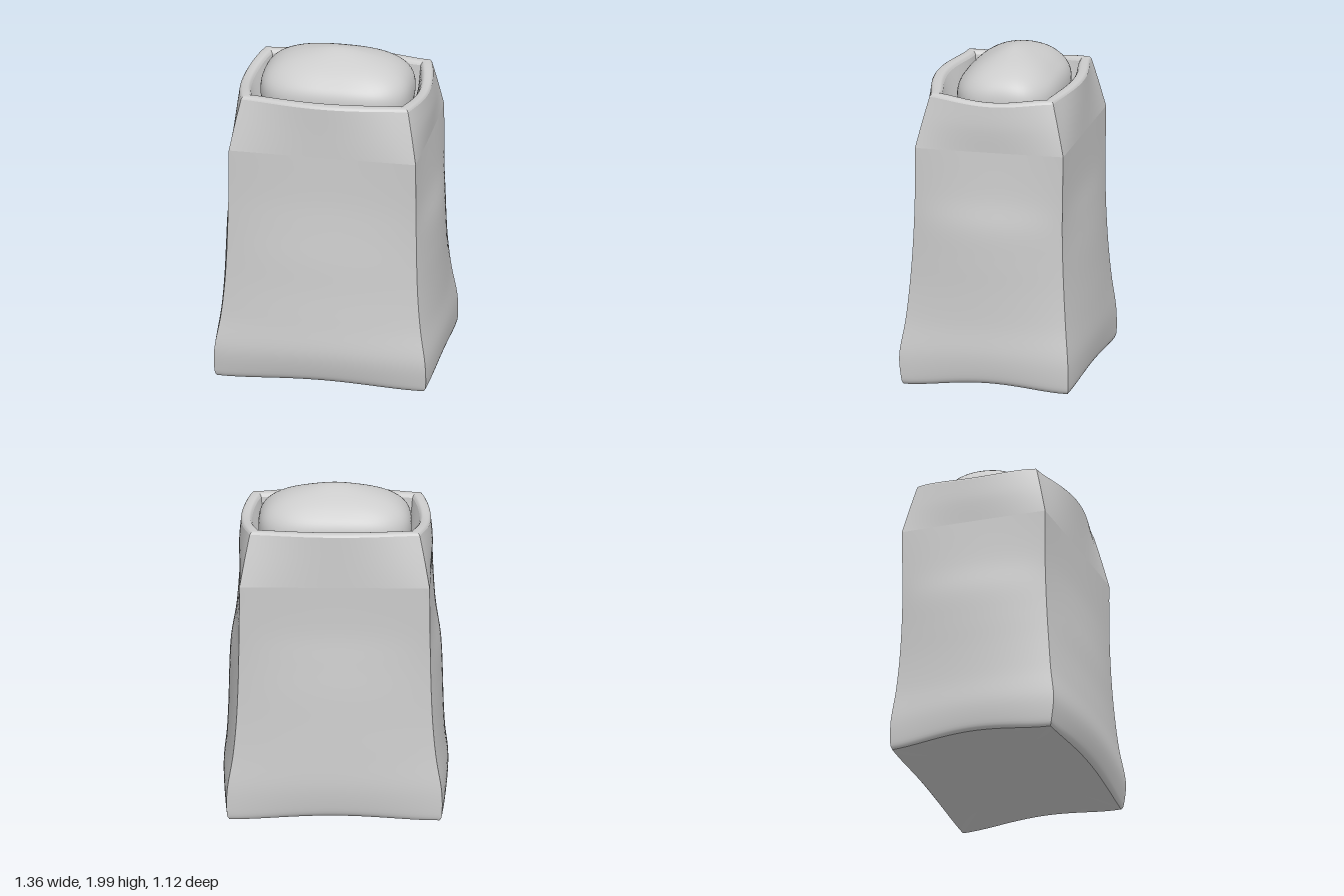
import * as THREE from 'three';
import { mergeVertices } from 'three/addons/utils/BufferGeometryUtils.js';

const material = new THREE.MeshStandardMaterial({ color: 0xcccccc });
const SIDE_STEPS = 20;

// Catmull-Rom blend of the numbers in neighbouring section rows
function smoothRows(rows, steps) {
  const out = [];
  const last = rows.length - 1;
  for (let i = 0; i < last; i++) {
    const r = [i - 1, i, i + 1, i + 2].map((k) => rows[Math.min(Math.max(k, 0), last)]);
    for (let j = 0; j < steps; j++) {
      const t = j / steps;
      out.push(r[1].map((p1, n) => {
        const p0 = r[0][n], p2 = r[2][n], p3 = r[3][n];
        return p1 + 0.5 * t * (p2 - p0 + t * (2 * p0 - 5 * p1 + 4 * p2 - p3 + t * (3 * (p1 - p2) + p3 - p0)));
      }));
    }
  }
  out.push(rows[last]);
  return out;
}

// Lofts four-cornered sections; each side is its own panel so the corners stay sharp.
// Row: y, corner x, front z, back z, side bulge, front bulge, back bulge,
//      side edge lift, front/back edge lift, roundness of the front/back bulge
function loft(name, rows, steps) {
  const sections = smoothRows(rows, steps);
  const pos = [], index = [];
  for (let side = 0; side < 4; side++) {
    const start = pos.length / 3;
    sections.forEach(([y, x, zf, zb, bx, bf, bb, liftS, liftF, p], i) => {
      for (let j = 0; j <= SIDE_STEPS; j++) {
        const s = (2 * j) / SIDE_STEPS - 1;
        const round = Math.max(0, 1 - s * s);
        const b = Math.pow(round, p), lift = round * round;
        const midZ = (zf + zb) / 2, halfZ = (zf - zb) / 2;
        if (side === 0) pos.push(x * s, y + liftF * lift, zf + bf * b);
        if (side === 1) pos.push(x + bx * round, y + liftS * lift, midZ - halfZ * s);
        if (side === 2) pos.push(-x * s, y + liftF * lift, zb - bb * b);
        if (side === 3) pos.push(-x - bx * round, y + liftS * lift, midZ + halfZ * s);
        if (i < sections.length - 1 && j < SIDE_STEPS) {
          const a = start + i * (SIDE_STEPS + 1) + j, c = a + SIDE_STEPS + 1;
          index.push(a, a + 1, c, a + 1, c + 1, c);
        }
      }
    });
  }
  const geometry = new THREE.BufferGeometry();
  geometry.setAttribute('position', new THREE.Float32BufferAttribute(pos, 3));
  geometry.setIndex(index);
  geometry.computeVertexNormals();
  const mesh = new THREE.Mesh(geometry, material);
  mesh.name = name;
  return mesh;
}

// Soft rounded lump filling the opening
function makeFilling() {
  let geometry = new THREE.SphereGeometry(1, 64, 40);
  geometry.deleteAttribute('uv');
  geometry.deleteAttribute('normal');
  geometry = mergeVertices(geometry);
  const pos = geometry.attributes.position;
  const v = new THREE.Vector3();
  for (let i = 0; i < pos.count; i++) {
    v.fromBufferAttribute(pos, i);
    const plan = Math.cbrt(Math.abs(v.x) ** 3 + Math.abs(v.z) ** 3);
    v.divideScalar(Math.pow(plan ** 2.5 + Math.abs(v.y) ** 2.5, 0.4));
    const top = Math.max(0, v.y);
    // a low ridge along the middle, falling off to the front and back
    const ridge = 0.02 * Math.exp(-9 * (v.x * v.x + v.z * v.z))
      - 0.04 * Math.min(1, v.z * v.z * 1.5) - 0.02 * Math.max(0, v.z);
    pos.setXYZ(i, 0.005 + 0.463 * v.x, 1.74 + 0.24 * v.y + top * ridge, -0.045 + 0.315 * v.z);
  }
  geometry.computeVertexNormals();
  const mesh = new THREE.Mesh(geometry, material);
  mesh.name = 'filling';
  return mesh;
}

export function createModel() {
  const group = new THREE.Group();
  group.name = 'openSack';

  const foot = [0.01, 0.635, 0.495, -0.52, 0.01, 0.02, 0.01, 0.04, 0.03, 1];
  const fold = [1.48, 0.575, 0.44, -0.48, 0.005, 0.003, 0, 0, 0, 1];
  const lip = [1.79, 0.514, 0.364, -0.404, 0.06, 0.075, 0.068, -0.025, 0.008, 1.6];

  group.add(
    // slightly hollow underside
    loft('underside', [
      [0.06, 0, -0.01, -0.01, 0, 0, 0, 0, 0, 1],
      [0.045, 0.32, 0.24, -0.265, 0, 0, 0, 0.01, 0.01, 1],
      foot,
    ], 5),
    // flared, softly bulging walls
    loft('walls', [
      foot,
      [0.05, 0.65, 0.508, -0.528, 0.018, 0.034, 0.02, 0.035, 0.028, 1],
      [0.2, 0.648, 0.52, -0.525, 0.03, 0.045, 0.035, 0.02, 0.02, 1],
      [0.4, 0.615, 0.49, -0.505, 0.045, 0.055, 0.045, 0, 0, 1],
      [0.6, 0.595, 0.47, -0.49, 0.055, 0.05, 0.045, 0, 0, 1],
      [0.8, 0.585, 0.455, -0.48, 0.06, 0.045, 0.04, 0, 0, 1],
      [1.0, 0.58, 0.445, -0.475, 0.055, 0.03, 0.025, 0, 0, 1],
      [1.2, 0.577, 0.44, -0.476, 0.025, 0.015, 0.006, 0, 0, 1],
      fold,
    ], 5),
    // collar leaning in at the corners above the fold
    loft('collar', [
      fold,
      [1.64, 0.545, 0.402, -0.442, 0.04, 0.038, 0.034, -0.01, 0.004, 1.4],
      lip,
    ], 6),
    // rounded rim of the opening
    loft('rim', [
      lip,
      [1.805, 0.502, 0.352, -0.392, 0.058, 0.072, 0.065, -0.025, 0.008, 1.6],
      [1.805, 0.47, 0.318, -0.358, 0.053, 0.063, 0.06, -0.025, 0.008, 1.6],
      [1.785, 0.457, 0.303, -0.343, 0.05, 0.06, 0.058, -0.025, 0.008, 1.6],
    ], 4),
    // inside of the opening
    loft('innerWalls', [
      [1.785, 0.457, 0.303, -0.343, 0.05, 0.06, 0.058, -0.025, 0.008, 1.6],
      [1.58, 0.44, 0.29, -0.33, 0, 0, 0, 0, 0, 1.6],
    ], 4),
    loft('innerFloor', [
      [1.58, 0.44, 0.29, -0.33, 0, 0, 0, 0, 0, 1],
      [1.58, 0, -0.02, -0.02, 0, 0, 0, 0, 0, 1],
    ], 1),
    makeFilling(),
  );
  return group;
}
